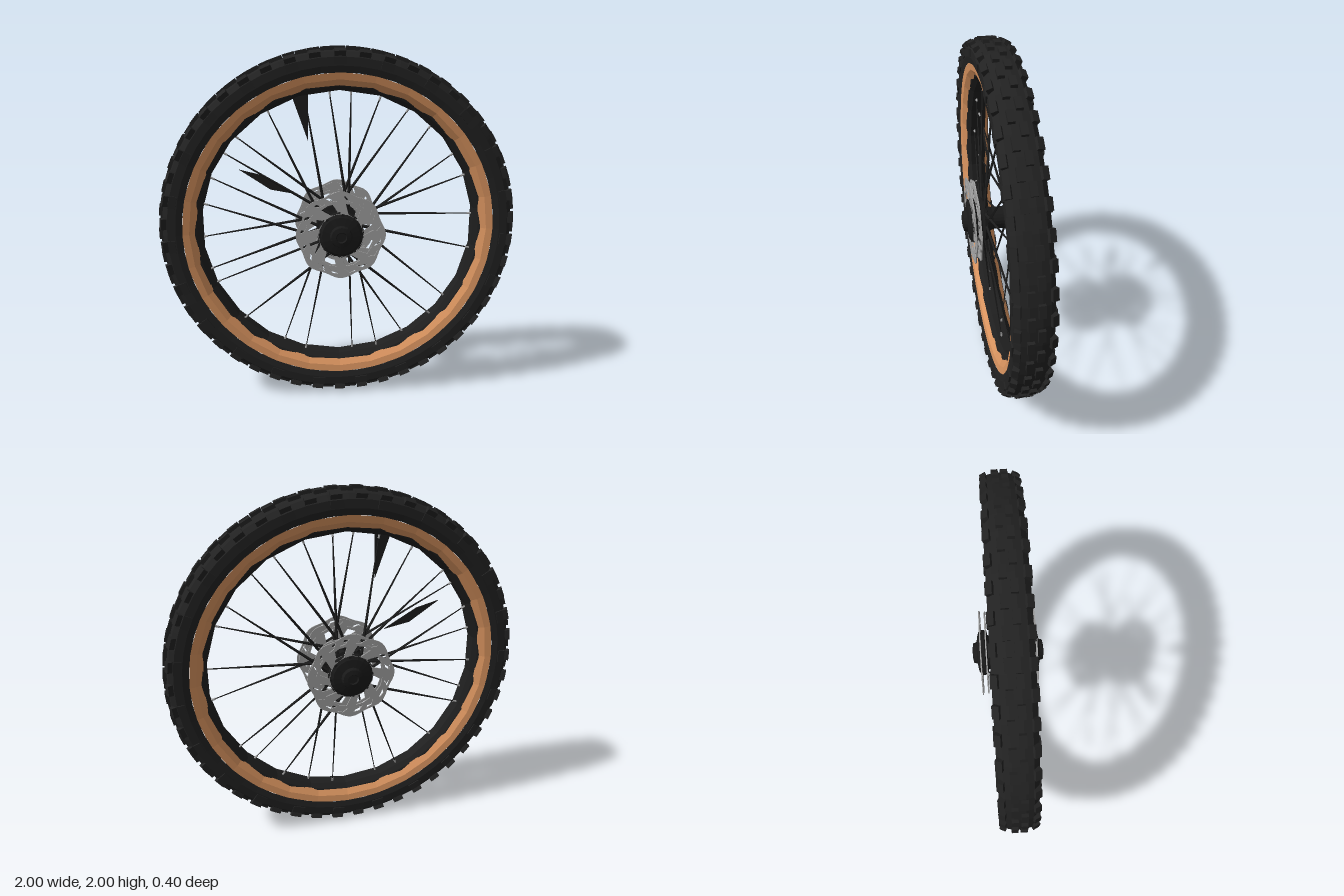
import * as THREE from 'three';
import { mergeGeometries } from 'three/addons/utils/BufferGeometryUtils.js';

const mat = (name, color) => Object.assign(new THREE.MeshStandardMaterial({ color }), { name });

// Faceted copy of a geometry
function flat(geo) {
  const g = geo.index ? geo.toNonIndexed() : geo;
  g.computeVertexNormals();
  return g;
}

// Revolve [radius, z] points around the z axis
function ring(points, sides) {
  const g = new THREE.LatheGeometry(points.map(([r, z]) => new THREE.Vector2(r, z)), sides);
  return flat(g.rotateX(Math.PI / 2));
}

const polar = (r, a, z = 0) => new THREE.Vector3(r * Math.cos(a), r * Math.sin(a), z);

// Straight tapered rod between two points
function rod(a, b, ra, rb, sides = 4) {
  const dir = b.clone().sub(a);
  const g = new THREE.CylinderGeometry(rb, ra, dir.length(), sides);
  g.applyQuaternion(new THREE.Quaternion().setFromUnitVectors(new THREE.Vector3(0, 1, 0), dir.normalize()));
  return flat(g.translate((a.x + b.x) / 2, (a.y + b.y) / 2, (a.z + b.z) / 2));
}

// Tread block standing on the tyre at an angle
function knob(angle, r, z, size, tilt) {
  const g = new THREE.BoxGeometry(...size);
  g.rotateY(tilt);
  g.translate(r, 0, z);
  return g.rotateZ(angle);
}

// Brake disc with a scalloped edge, slanted slots and an open centre
function discGeometry(outer, lobes, slotWidth) {
  const shape = new THREE.Shape();
  const n = 72;
  for (let i = 0; i < n; i++) {
    const a = i / n * Math.PI * 2;
    const p = polar(outer - 0.008 + 0.008 * Math.cos(a * lobes), a);
    i ? shape.lineTo(p.x, p.y) : shape.moveTo(p.x, p.y);
  }
  shape.closePath();
  const hole = (pts) => {
    const v = pts.map(([r, a]) => { const p = polar(r, a); return new THREE.Vector2(p.x, p.y); });
    shape.holes.push(new THREE.Path(v));
  };
  hole(Array.from({ length: 24 }, (_, i) => [0.1, -i / 24 * Math.PI * 2]));
  for (let i = 0; i < lobes; i++) {
    const a = i / lobes * Math.PI * 2;
    // large windows between the arms
    hole([[0.125, a], [0.125, a + 0.45], [0.18, a + 0.64], [0.183, a + 0.4], [0.18, a + 0.15]]);
    // narrow vents in the braking band
    for (const d of [0.1, 0.45]) {
      hole([[0.196, a + d], [0.196, a + d + slotWidth], [0.222, a + d + slotWidth + 0.12], [0.222, a + d + 0.12]]);
    }
  }
  const g = new THREE.ExtrudeGeometry(shape, { depth: 0.006, bevelEnabled: false });
  return g.translate(0, 0, -0.003);
}

export function createModel() {
  const rubber = mat('black rubber', 0x222222);
  const tan = mat('tan sidewall', 0xdb9560);
  const rimBlack = mat('black rim', 0x1f1f1f);
  const hubBlack = mat('black hub', 0x1a1a1a);
  const spokeBlack = mat('black spoke', 0x1c1c1c);
  const steel = mat('brake steel', 0xa2a2a2);

  const wheel = new THREE.Group();
  wheel.name = 'wheel';
  wheel.position.y = 1;
  const add = (name, geo, material) => {
    const m = new THREE.Mesh(geo, material);
    m.name = name;
    wheel.add(m);
    return m;
  };

  // Tyre carcass
  add('tyre', ring([[0.865, -0.09], [0.9, -0.098], [0.945, -0.096], [0.972, -0.07], [0.982, -0.03],
    [0.982, 0.03], [0.972, 0.07], [0.945, 0.096], [0.9, 0.098], [0.865, 0.09]], 56), rubber);

  // Tread: paired centre blocks, staggered shoulder blocks and side lugs
  const blocks = [];
  const steps = 46;
  for (let i = 0; i < steps; i++) {
    const a = i / steps * Math.PI * 2, half = Math.PI / steps;
    blocks.push(knob(a, 0.98, 0.024, [0.036, 0.065, 0.034], 0));
    blocks.push(knob(a + half, 0.98, -0.024, [0.036, 0.065, 0.034], 0));
    for (const s of [-1, 1]) {
      const stagger = s > 0 ? half : 0;
      blocks.push(knob(a + stagger, 0.96, s * 0.079, [0.046, 0.06, 0.034], -s * 0.45));
      if (i % 2) blocks.push(knob(a + stagger, 0.925, s * 0.096, [0.04, 0.07, 0.016], 0));
    }
  }
  add('treadBlocks', flat(mergeGeometries(blocks)), rubber);

  // Tan sidewalls, sloping in towards the rim on both sides
  add('frontSidewall', ring([[0.868, 0.09], [0.83, 0.083], [0.795, 0.056]], 28), tan);
  add('backSidewall', ring([[0.795, -0.056], [0.83, -0.083], [0.868, -0.09]], 28), tan);

  // Rim
  add('rim', ring([[0.81, 0.062], [0.797, 0.058], [0.772, 0.035], [0.772, -0.035],
    [0.797, -0.058], [0.81, -0.062]], 22), rimBlack);

  // Hub shell with flanges and stepped end caps
  const halfHub = [[0.062, 0.03], [0.075, 0.06], [0.12, 0.068], [0.125, 0.085], [0.09, 0.095],
    [0.1, 0.115], [0.128, 0.13], [0.128, 0.15], [0.105, 0.168], [0.062, 0.176],
    [0.055, 0.195], [0.03, 0.2], [0.025, 0.192], [0, 0.192]];
  const mirrored = halfHub.map(([r, z]) => [r, -z]).reverse();
  add('hub', ring([...mirrored, ...halfHub], 20), hubBlack);

  // Brake discs, an outer and an inner one on each side
  for (const s of [-1, 1]) {
    const side = s > 0 ? 'front' : 'back';
    const outer = add(side + 'OuterDisc', discGeometry(0.248, 8, 0.16), steel);
    outer.position.z = s * 0.152;
    const inner = add(side + 'InnerDisc', discGeometry(0.238, 8, 0.2), steel);
    inner.position.z = s * 0.122;
    inner.rotation.z = 0.12;
    // bolts holding the discs
    const bolts = [];
    for (let i = 0; i < 8; i++) {
      const a = i / 8 * Math.PI * 2 - 0.08;
      bolts.push(rod(polar(0.115, a, s * 0.115), polar(0.115, a, s * 0.162), 0.009, 0.009, 6));
    }
    add(side + 'DiscBolts', mergeGeometries(bolts), hubBlack);
  }

  // Spokes by rim angle in degrees, laced to alternate flanges
  const angles = [5, 23, 33, 49, 60, 73, 85, 94, 104, 120, 137, 145, 157, 168, 183, 197, 204,
    224, 245, 255, 276, 287, 300, 315, 325, 350];
  const spokes = [], nipples = [];
  angles.forEach((deg, i) => {
    const a = THREE.MathUtils.degToRad(deg);
    const s = i % 2 ? 1 : -1;
    const lean = (i % 4 < 2 ? 1 : -1) * 0.5;
    const start = polar(0.11, a + lean, s * 0.078);
    const end = polar(0.775, a, s * 0.012);
    const middle = start.clone().lerp(end, 0.4);
    spokes.push(rod(start, middle, 0.009, 0.007), rod(middle, end, 0.007, 0.003));
    nipples.push(rod(end.clone().lerp(start, 0.045), end, 0.006, 0.006, 6));
  });
  add('spokes', mergeGeometries(spokes), spokeBlack);
  add('spokeNipples', mergeGeometries(nipples), steel);

  // Two broad flattened spoke blades
  const blade = (points) => {
    const shape = new THREE.Shape(points.map(([x, y]) => new THREE.Vector2(x, y)));
    return new THREE.ExtrudeGeometry(shape, { depth: 0.006, bevelEnabled: false });
  };
  add('upperBlade', blade([[-0.25, 0.73], [-0.165, 0.75], [-0.17, 0.5]]), spokeBlack);
  add('sideBlade', blade([[-0.55, 0.345], [-0.42, 0.31], [-0.23, 0.2], [-0.38, 0.23]]), spokeBlack);

  const model = new THREE.Group();
  model.name = 'bicycleWheel';
  model.add(wheel);
  return model;
}
